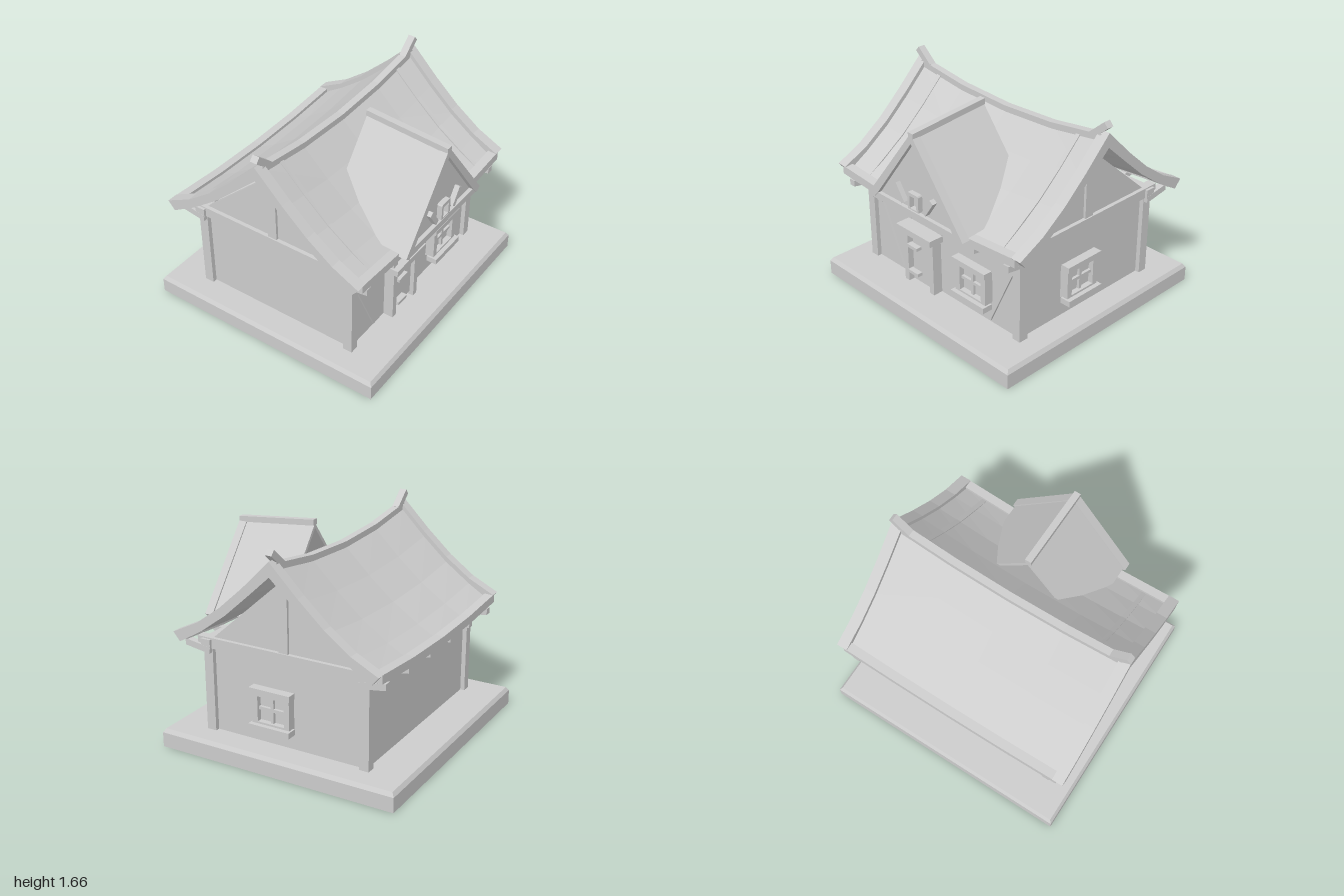
import * as THREE from 'three';

const grey = new THREE.MeshStandardMaterial({ color: 0xcccccc, side: THREE.DoubleSide });
grey.name = 'plain grey';

function add(parent, name, geometry) {
  const mesh = new THREE.Mesh(geometry, grey);
  mesh.name = name;
  parent.add(mesh);
  return mesh;
}

// box given by its min and max on each axis
function box(parent, name, x0, x1, y0, y1, z0, z1) {
  const m = add(parent, name, new THREE.BoxGeometry(x1 - x0, y1 - y0, z1 - z0));
  m.position.set((x0 + x1) / 2, (y0 + y1) / 2, (z0 + z1) / 2);
  return m;
}

// closed solid through rings of [x, y, z]; rings hold an even number of points
function loft(rings) {
  const n = rings[0].length, pos = [];
  const quad = (a, b, c, d) => pos.push(...a, ...b, ...c, ...a, ...c, ...d);
  for (let r = 0; r < rings.length - 1; r++)
    for (let i = 0; i < n; i++) {
      const j = (i + 1) % n;
      quad(rings[r][i], rings[r][j], rings[r + 1][j], rings[r + 1][i]);
    }
  const first = rings[0], last = rings[rings.length - 1];
  for (let i = 0; i < n / 2 - 1; i++) {
    quad(first[n - 1 - i], first[n - 2 - i], first[i + 1], first[i]);
    quad(last[i], last[i + 1], last[n - 2 - i], last[n - 1 - i]);
  }
  // turn the corners round if the solid came out inside out
  let volume = 0;
  const v = (k) => new THREE.Vector3(pos[k], pos[k + 1], pos[k + 2]);
  for (let k = 0; k < pos.length; k += 9) volume += v(k).dot(v(k + 3).cross(v(k + 6)));
  if (volume < 0)
    for (let k = 0; k < pos.length; k += 9)
      for (let c = 3; c < 6; c++) [pos[k + c], pos[k + c + 3]] = [pos[k + c + 3], pos[k + c]];
  const g = new THREE.BufferGeometry();
  g.setAttribute('position', new THREE.Float32BufferAttribute(pos, 3));
  g.computeVertexNormals();
  return g;
}

// flat outline in x,y extruded from z0 to z1
function plate(parent, name, points, z0, z1, hole) {
  const s = new THREE.Shape(points.map(([x, y]) => new THREE.Vector2(x, y)));
  if (hole) s.holes.push(new THREE.Path(hole.map(([x, y]) => new THREE.Vector2(x, y))));
  const m = add(parent, name, new THREE.ExtrudeGeometry(s, { depth: z1 - z0, bevelEnabled: false }));
  m.position.z = z0;
  return m;
}

const rect = (x0, x1, y0, y1) => [[x0, y0], [x1, y0], [x1, y1], [x0, y1]];

// window centred on x = 0, standing out from z = 0
function makeWindow(name) {
  const w = new THREE.Group();
  w.name = name;
  plate(w, 'windowFrame', rect(-0.155, 0.155, 0.3, 0.57), 0, 0.05, rect(-0.11, 0.11, 0.335, 0.53));
  box(w, 'windowPane', -0.11, 0.11, 0.335, 0.53, 0, 0.008);
  box(w, 'windowMullion', -0.012, 0.012, 0.335, 0.53, 0, 0.03);
  box(w, 'windowCrossbar', -0.11, 0.11, 0.422, 0.446, 0, 0.03);
  box(w, 'windowLintel', -0.17, 0.17, 0.552, 0.595, 0, 0.07);
  box(w, 'windowSill', -0.17, 0.17, 0.275, 0.32, 0, 0.085);
  return w;
}

// roof profile from ridge to eave as [z, y], and the sag along x
const outer = [[0, 1.585], [0.22, 1.365], [0.42, 1.185], [0.62, 1.04], [0.83, 0.935]];
const inner = [[0, 1.475], [0.18, 1.31], [0.37, 1.14], [0.58, 0.985], [0.775, 0.87]];
const sag = (x, depth) => depth * (1 - (x / 0.92) ** 2);
const stations = [-0.92, -0.46, 0, 0.46, 0.92];

export function createModel() {
  const house = new THREE.Group();
  house.name = 'cottage';

  // plinth with a chamfered upper edge
  const ring = (x, y, z) => [[-x, y, -z], [x, y, -z], [x, y, z], [-x, y, z]];
  add(house, 'plinth', loft([ring(1, 0, 0.965), ring(1, 0.115, 0.965), ring(0.98, 0.145, 0.945)]));

  // walls, corner posts and wall plates
  box(house, 'walls', -0.79, 0.79, 0.145, 0.86, -0.645, 0.645);
  for (const s of [-1, 1]) {
    for (const t of [-1, 1]) {
      const post = box(house, 'cornerPost', -0.035, 0.035, 0.145, 0.86, -0.038, 0.038);
      post.position.x = 0.79 * s;
      post.position.z = 0.642 * t;
    }
    const side = box(house, 'sideWallPlate', -0.035, 0.035, 0.8, 0.88, -0.725, 0.725);
    side.position.x = 0.8 * s;
    const front = box(house, 'longWallPlate', -0.855, 0.855, 0.8, 0.87, -0.04, 0.04);
    front.position.z = 0.645 * s;

    // gable end
    const gable = plate(house, 'gableWall', [[-0.6, 0.88], [0.6, 0.88], [0, 1.41]], -0.02, 0.02);
    gable.rotation.y = Math.PI / 2;
    gable.position.set(0.785 * s - 0.02, 0, 0);
    const king = box(house, 'gablePost', -0.035, 0.035, 0.88, 1.4, -0.038, 0.038);
    king.position.x = 0.79 * s;

    // diagonal brace on the front wall
    plate(house, 'frontBrace', [[0.755, 0.8], [0.755, 0.7], [0.51, 0.165], [0.46, 0.182], [0.735, 0.8]]
      .map(([x, y]) => [x * s, y]), 0.64, 0.66);
  }

  // roof slopes, bargeboards, eave boards and rafter tails, front and back
  for (const t of [-1, 1]) {
    add(house, 'roofSlope', loft(outer.map(([z, y], i) => {
      const depth = 0.085 - 0.011 * i, zz = Math.min(z, 0.79);
      const row = (drop) => stations.map((x) => [x, y - drop - sag(x, depth), zz * t]);
      return [...row(0.04), ...row(0.07).reverse()];
    })));
    for (const s of [-1, 1])
      add(house, 'bargeboard', loft(outer.map(([z, y], i) => {
        const [zi, yi] = inner[i];
        return [[0.89 * s, yi, zi * t], [0.89 * s, y, z * t], [0.975 * s, y, z * t], [0.975 * s, yi, zi * t]];
      })));
    add(house, 'eaveBoard', loft(stations.map((x) => {
      const d = sag(x, 0.045);
      return [[x, 0.87 - d, 0.76 * t], [x, 0.94 - d, 0.76 * t], [x, 0.935 - d, 0.828 * t], [x, 0.87 - d, 0.828 * t]];
    })));
    for (let i = 0; i < 6; i++) {
      const x = -0.83 + i * 0.332;
      const end = (z, y0, y1) => [[x - 0.026, y0, z * t], [x + 0.026, y0, z * t], [x + 0.026, y1, z * t], [x - 0.026, y1, z * t]];
      add(house, 'rafterTail', loft([end(0.61, 0.765, 0.815), end(0.82, 0.797, 0.845)]));
    }
  }

  // raised battens on the front slope
  for (const s of [-1, 1])
    add(house, 'roofBatten', loft(outer.map(([z, y], i) => {
      const row = (d) => [0.7, 0.737].map((x) => [x * s, y - d - sag(x, 0.085 - 0.011 * i), Math.min(z, 0.77)]);
      return [...row(0.025), ...row(0.05).reverse()];
    })));

  // sagging ridge beam with tilted ends
  add(house, 'ridgeBeam', loft(stations.map((x) => {
    const y = 1.565 - sag(x, 0.085);
    return [[x, y - 0.05, -0.028], [x, y, -0.028], [x, y, 0.028], [x, y - 0.05, 0.028]];
  })));
  for (const s of [-1, 1]) {
    const finial = add(house, 'ridgeFinial', new THREE.BoxGeometry(0.17, 0.05, 0.056));
    finial.position.set(0.9 * s, 1.59, 0);
    finial.rotation.z = 0.72 * s;
  }

  // dormer: two slopes open at the back, front frame, ridge
  const dormer = new THREE.Group();
  dormer.name = 'dormer';
  house.add(dormer);
  for (const s of [-1, 1]) {
    const section = (z, rise) => [[0, 1.53 + rise, z], [0.485 * s, 0.91 + rise, z],
      [0.462 * s, 0.9 + rise, z], [0, 1.492 + rise, z]];
    add(dormer, 'dormerSlope', loft([section(0.24, 0.05), section(0.85, 0)]));
    plate(dormer, 'dormerBargeboard', [[0, 1.545], [0.505 * s, 0.905], [0.465 * s, 0.875], [0.41 * s, 0.93], [0, 1.47]], 0.84, 0.905);
    const brace = add(dormer, 'dormerBrace', new THREE.BoxGeometry(0.04, 0.15, 0.05));
    brace.position.set(0.155 * s, 1.035, 0.885);
    brace.rotation.z = -0.6 * s;
  }
  plate(dormer, 'dormerGable', [[-0.44, 0.9], [0.44, 0.9], [0, 1.49]], 0.85, 0.87);
  box(dormer, 'dormerTieBeam', -0.47, 0.47, 0.88, 0.935, 0.84, 0.9);
  plate(dormer, 'dormerWindowFrame', [[-0.057, 0.955], [0.057, 0.955], [0.057, 1.075], [0.05, 1.085], [-0.05, 1.085], [-0.057, 1.075]],
    0.86, 0.91, rect(-0.035, 0.035, 0.965, 1.06));
  const end = (z, y) => [[-0.025, y - 0.045, z], [0.025, y - 0.045, z], [0.025, y, z], [-0.025, y, z]];
  add(dormer, 'dormerRidge', loft([end(0.24, 1.61), end(0.905, 1.55)]));

  // door with jambs, lintel and strap hinges
  const door = new THREE.Group();
  door.name = 'door';
  house.add(door);
  box(door, 'leftJamb', -0.075, -0.03, 0.145, 0.585, 0.64, 0.725);
  box(door, 'rightJamb', -0.36, -0.315, 0.145, 0.585, 0.64, 0.725);
  box(door, 'doorHead', -0.36, -0.03, 0.55, 0.59, 0.64, 0.725);
  box(door, 'doorLintel', -0.385, -0.005, 0.585, 0.635, 0.64, 0.77);
  box(door, 'doorBack', -0.315, -0.075, 0.145, 0.55, 0.64, 0.675);
  box(door, 'doorLeaf', -0.29, -0.08, 0.18, 0.54, 0.67, 0.695);
  for (const y of [0.245, 0.468]) box(door, 'strapHinge', -0.305, -0.195, y - 0.013, y + 0.013, 0.69, 0.74);

  // windows on the front and on the left side
  const frontWindow = makeWindow('frontWindow');
  frontWindow.position.set(0.365, 0, 0.67);
  const sideWindow = makeWindow('sideWindow');
  sideWindow.rotation.y = Math.PI / 2;
  sideWindow.position.set(0.815, 0, 0.09);
  house.add(frontWindow, sideWindow);
  box(frontWindow, 'windowBacking', -0.15, 0.15, 0.305, 0.565, -0.03, 0.001);
  box(sideWindow, 'windowBacking', -0.15, 0.15, 0.305, 0.565, -0.03, 0.001);

  return house;
}
